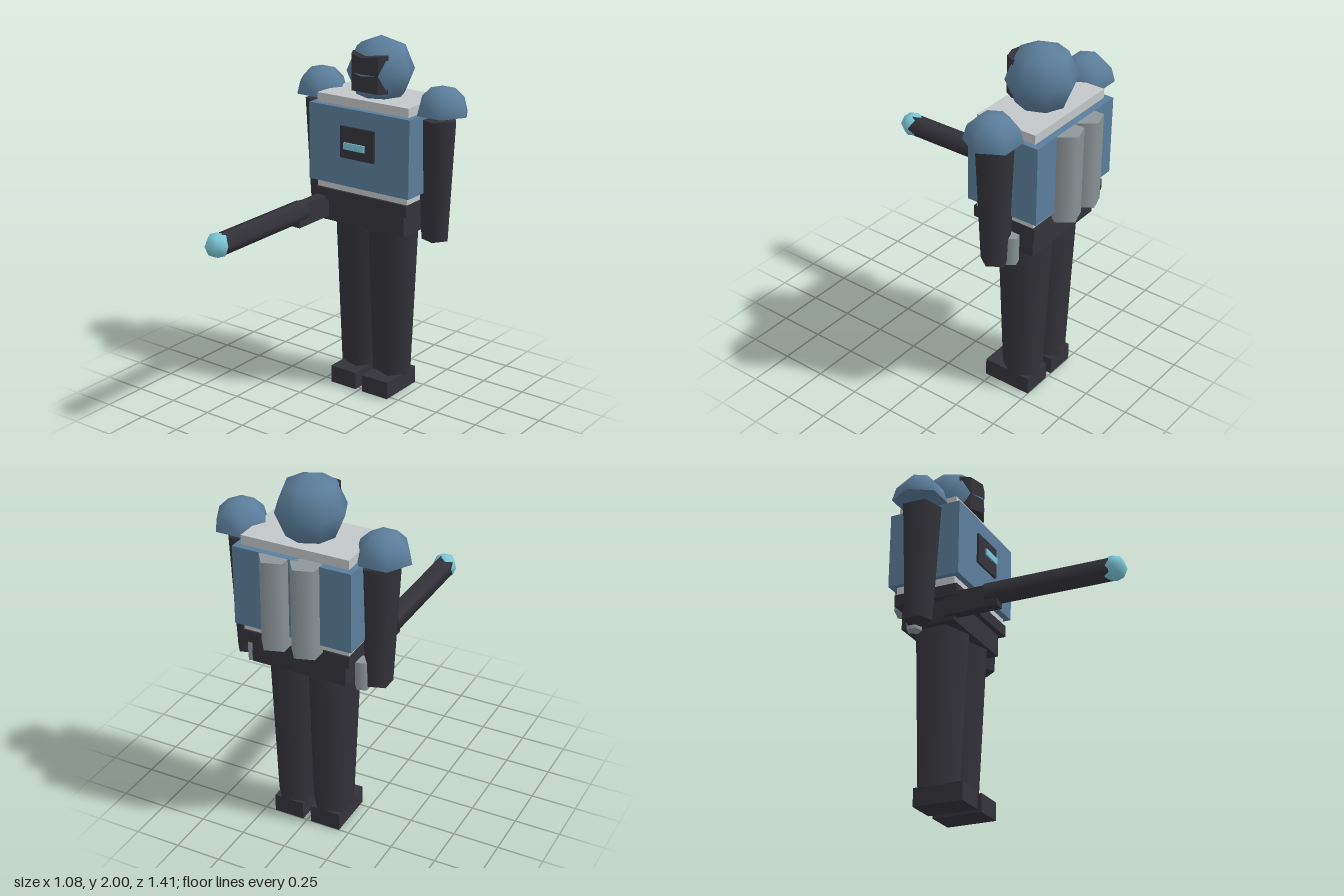
import * as THREE from 'three';

const mat = (name, color) => {
  const m = new THREE.MeshStandardMaterial({ color });
  m.name = name;
  return m;
};

export function createModel() {
  const blue = mat('armour blue', 0x5b7e9c);
  const dark = mat('dark suit', 0x34333a);
  const pale = mat('pale grey', 0xc4c7c9);
  const steel = mat('steel grey', 0x8e9699);
  const cyan = mat('cyan glow', 0x7cc8da);
  const CZ = -0.405; // depth of the body's centre line

  const model = new THREE.Group();
  model.name = 'armouredFigure';

  const add = (name, geometry, material, x, y, z) => {
    const mesh = new THREE.Mesh(geometry, material);
    mesh.name = name;
    mesh.position.set(x, y, z);
    model.add(mesh);
    return mesh;
  };
  // Box from its ranges in x, y and z
  const box = (name, material, x0, x1, y0, y1, z0, z1) =>
    add(name, new THREE.BoxGeometry(x1 - x0, y1 - y0, z1 - z0), material,
      (x0 + x1) / 2, (y0 + y1) / 2, (z0 + z1) / 2);
  // Upright five-sided limb with one corner towards +x
  const limb = (name, material, rTop, rBottom, x, y0, y1, z) =>
    add(name, new THREE.CylinderGeometry(rTop, rBottom, y1 - y0, 5).rotateY(Math.PI / 2),
      material, x, (y0 + y1) / 2, z);

  // Torso: pale core inside a blue shell, belt and pelvis below
  box('torsoCore', pale, -0.295, 0.295, 1.15, 1.68, -0.58, -0.235);
  box('chestArmour', blue, -0.325, 0.325, 1.2, 1.63, -0.617, -0.2);
  box('belt', dark, -0.3, 0.3, 1.09, 1.155, -0.59, -0.22);
  box('pelvis', dark, -0.265, 0.265, 0.963, 1.1, -0.56, -0.25);

  // Chest panel and its light
  box('chestPanel', dark, -0.11, 0.11, 1.36, 1.535, -0.21, -0.188);
  box('chestLight', cyan, -0.067, 0.067, 1.418, 1.455, -0.168, -0.159);

  // Head and the wrapped visor that breaks through its front
  add('head', new THREE.SphereGeometry(0.185, 8, 4), blue, 0, 1.815, CZ);
  const side = [[0.085, 0.255], [0.114, 0.31]];
  const outline = [[0, 0.2225], ...side, [0, 0.4],
    ...side.map(([x, z]) => [-x, z]).reverse()];
  const visorShape = new THREE.Shape(outline.map(([x, z]) => new THREE.Vector2(x, z)));
  const visor = new THREE.ExtrudeGeometry(visorShape, { depth: 0.18, bevelEnabled: false });
  visor.rotateX(-Math.PI / 2);
  // Lift the outer ends of the top edge and drop those of the bottom edge
  const p = visor.attributes.position;
  for (let i = 0; i < p.count; i++) {
    const y = p.getY(i);
    p.setY(i, y + Math.sign(y - 0.09) * Math.abs(p.getX(i)) * 0.12);
  }
  visor.computeVertexNormals();
  add('visor', visor, dark, 0, 1.727, 0);

  // Paired parts
  for (const [s, label] of [[1, 'left'], [-1, 'right']]) {
    add(label + 'ShoulderDome',
      new THREE.SphereGeometry(0.148, 6, 3, 0, Math.PI * 2, 0, Math.PI / 2),
      blue, s * 0.393, 1.636, CZ);
    add(label + 'ShoulderBase', new THREE.CircleGeometry(0.148, 6).rotateX(Math.PI / 2),
      blue, s * 0.393, 1.636, CZ);
    limb(label + 'Arm', dark, 0.109, 0.076, s * 0.37, 0.937, 1.605, CZ);
    limb(label + 'Leg', dark, 0.15, 0.114, s * 0.108, 0.09, 0.98, CZ);
    limb(label + 'HipCanister', steel, 0.043, 0.043, s * 0.31, 0.918, 1.075, -0.46);
    limb(label + 'BackTank', steel, 0.087, 0.087, s * 0.085, 1.145, 1.63, -0.622);
    box(label + 'Foot', dark, s * 0.108 - 0.085, s * 0.108 + 0.085, 0, 0.1, -0.5, -0.22);
  }

  // Forward-pointing blaster at the right hip
  box('blasterMount', dark, -0.292, -0.232, 0.985, 1.11, -0.3, 0.01);
  const barrel = new THREE.CylinderGeometry(0.063, 0.063, 0.69, 5)
    .rotateY(Math.PI / 2).rotateX(Math.PI / 2);
  add('blasterBarrel', barrel, dark, -0.262, 1.07, 0.287);
  add('blasterTip', new THREE.SphereGeometry(0.069, 6, 4), cyan, -0.262, 1.07, 0.645);

  return model;
}
